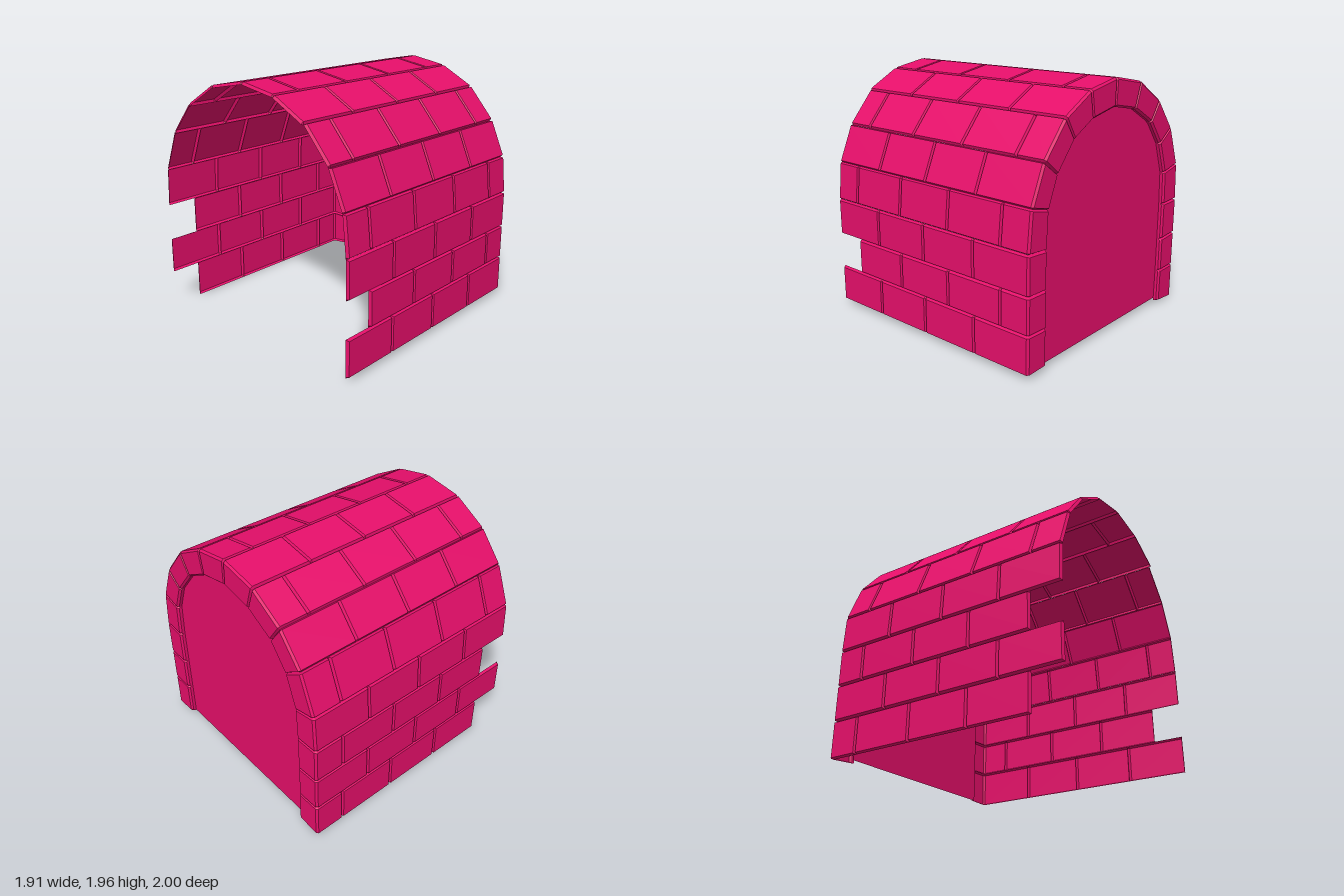
import * as THREE from 'three';

const BEVEL = 0.012;  // width of the chamfer beside each joint
const DEPTH = 0.022;  // depth of each joint
const BACK = -1;      // plane of the rear ring of bricks
const PANEL_Z = -0.96;

// Joints around the arch, from the right foot over the crown to the left foot:
// outer x, outer y, inner x, inner y
const JOINTS = [
  [-0.955, 0, -0.745, 0.02], [-0.955, 0.295, -0.75, 0.29],
  [-0.955, 0.58, -0.75, 0.565], [-0.955, 0.87, -0.75, 0.865],
  [-0.94, 1.17, -0.74, 1.13], [-0.815, 1.49, -0.65, 1.38],
  [-0.615, 1.73, -0.5, 1.57], [-0.335, 1.9, -0.265, 1.7],
  [-0.01, 1.96, 0, 1.75], [0.3, 1.905, 0.265, 1.7],
  [0.58, 1.755, 0.475, 1.59], [0.8, 1.5, 0.65, 1.385],
  [0.925, 1.21, 0.74, 1.165], [0.955, 0.905, 0.755, 0.89],
  [0.955, 0.61, 0.755, 0.605], [0.955, 0.33, 0.755, 0.325],
  [0.955, 0.035, 0.755, 0.04],
].map(([x, y, u, v]) => ({ outer: new THREE.Vector2(x, y), inner: new THREE.Vector2(u, v) }));

const material = new THREE.MeshStandardMaterial({
  color: 0xe60f6a, flatShading: true, side: THREE.DoubleSide,
});

// Sweeps a profile of [inward fraction, z] pairs from joint a to joint b;
// the sunken profile is used at both ends so that the brick edges are chamfered.
function brickGeometry(a, b, face, sunken) {
  const edge = BEVEL / a.outer.distanceTo(b.outer);
  const sections = [[0, sunken], [edge, face], [1 - edge, face], [1, sunken]].map(([t, profile]) =>
    profile.map(([s, z]) => {
      const p = a.outer.clone().lerp(a.inner, s);
      const q = b.outer.clone().lerp(b.inner, s);
      p.lerp(q, t);
      return [p.x, p.y, z];
    }));
  const positions = [];
  for (let i = 0; i < 3; i++) {
    for (let j = 0; j < face.length - 1; j++) {
      const p = sections[i][j], q = sections[i + 1][j];
      const r = sections[i + 1][j + 1], s = sections[i][j + 1];
      positions.push(...p, ...q, ...r, ...p, ...r, ...s);
    }
  }
  const geometry = new THREE.BufferGeometry();
  geometry.setAttribute('position', new THREE.Float32BufferAttribute(positions, 3));
  geometry.computeVertexNormals();
  return geometry;
}

// Thin outer shell of one brick between two z positions
function shellProfiles(z0, z1, d) {
  const z = [z0, z0 - BEVEL, z1 + BEVEL, z1];
  return [z.map((v, k) => [k === 0 || k === 3 ? d : 0, v]), z.map((v) => [d, v])];
}

// Brick that wraps around the rear edge and returns to the end panel
function cornerProfiles(z0, d) {
  const c = d * 0.7, cz = 0.015;
  const face = [[d, z0], [0, z0 - BEVEL], [0, BACK + cz], [c, BACK],
    [1 - c, BACK], [1, BACK + cz], [1, PANEL_Z]];
  const sunken = [[d, z0], [d, z0 - BEVEL], [d, BACK + DEPTH + 0.004], [d + 0.01, BACK + DEPTH],
    [1 - c, BACK + DEPTH], [1, BACK + DEPTH + 0.004], [1, PANEL_Z]];
  return [face, sunken];
}

export function createModel() {
  const model = new THREE.Group();
  model.name = 'brickTunnel';

  const add = (parent, geometry, name) => {
    const mesh = new THREE.Mesh(geometry, material);
    mesh.name = name;
    parent.add(mesh);
  };

  // Courses of bricks in running bond along the tunnel
  for (let i = 0; i < JOINTS.length - 1; i++) {
    const a = JOINTS[i], b = JOINTS[i + 1];
    const course = new THREE.Group();
    course.name = 'brickCourse';
    const d = DEPTH / a.outer.distanceTo(a.inner);
    const stops = i % 2 ? [0.5, 0, -0.5] : [0.75, 0.25, -0.25, -0.75];

    // Some low courses stop short, leaving a toothed front edge
    if (![0, 2, 14].includes(i)) stops.unshift(i >= 10 ? 0.985 : 1);

    for (let k = 0; k < stops.length - 1; k++) {
      add(course, brickGeometry(a, b, ...shellProfiles(stops[k], stops[k + 1], d)), 'wallBrick');
    }
    add(course, brickGeometry(a, b, ...cornerProfiles(stops[stops.length - 1], d)), 'rearArchBrick');
    model.add(course);
  }

  // Flat arched panel closing the rear end
  const arch = new THREE.Shape();
  arch.moveTo(-0.755, 0.04);
  arch.lineTo(0.755, 0.04);
  arch.lineTo(0.755, 1);
  arch.absarc(0, 1, 0.755, 0, Math.PI, false);
  arch.closePath();
  const panel = new THREE.ShapeGeometry(arch, 24);
  panel.rotateY(Math.PI);
  panel.translate(0, 0, PANEL_Z);
  add(model, panel, 'endPanel');

  return model;
}
